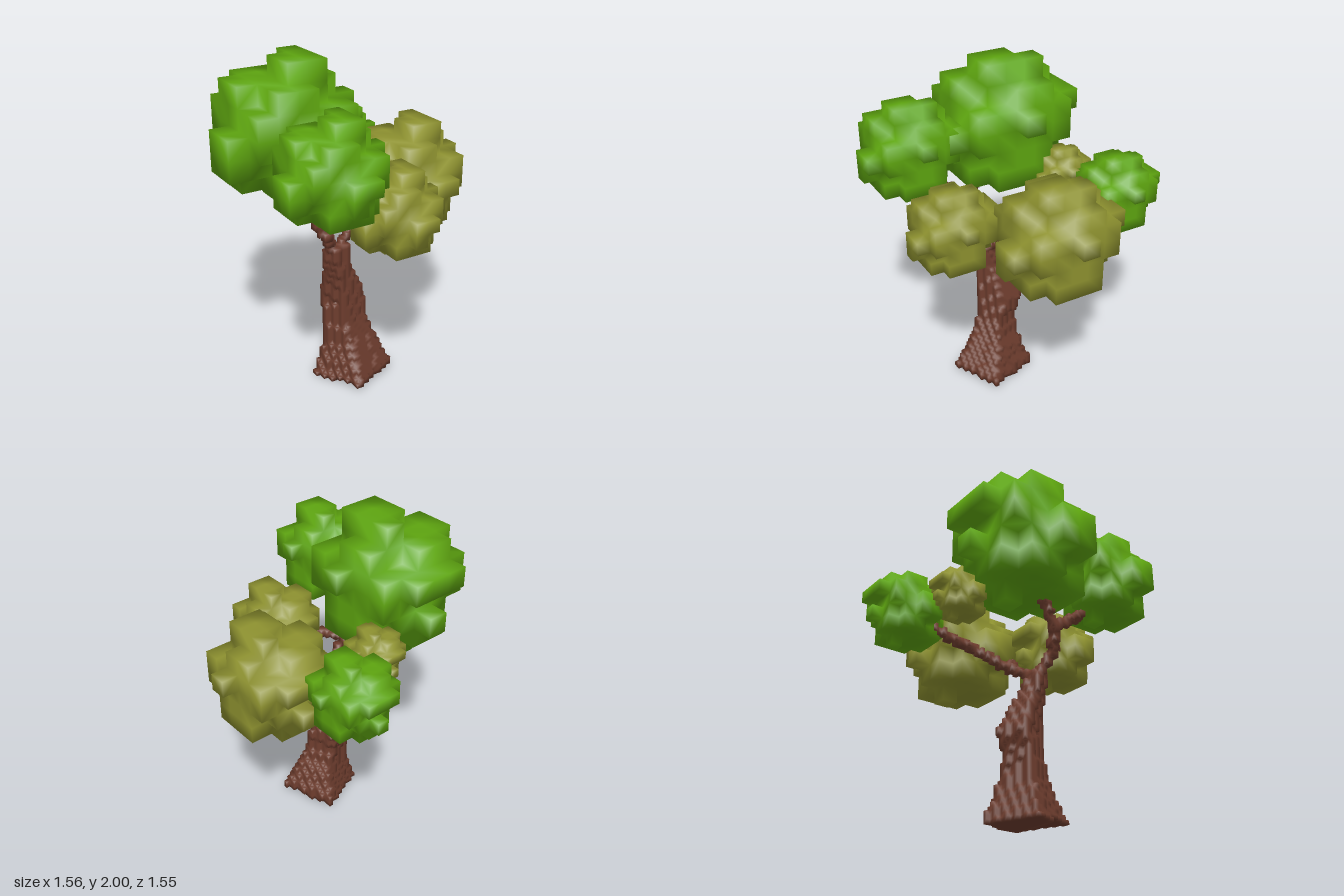
import * as THREE from 'three';

const green = new THREE.MeshStandardMaterial({ color: 0x5ea510 });
green.name = 'leaf green';
const olive = new THREE.MeshStandardMaterial({ color: 0x8e9230 });
olive.name = 'olive leaf';
const bark = new THREE.MeshStandardMaterial({ color: 0x6e3d2e });
bark.name = 'bark brown';

// Skin of a block grid: only exposed faces, shared corners so normals are smooth
function blocks(origin, cell, size, filled) {
  const [nx, ny, nz] = size;
  const grid = new Uint8Array(nx * ny * nz);
  const at = (i, j, k) => (i < 0 || j < 0 || k < 0 || i >= nx || j >= ny || k >= nz) ? 0 : grid[(j * nz + k) * nx + i];
  for (let j = 0; j < ny; j++) for (let k = 0; k < nz; k++) for (let i = 0; i < nx; i++) {
    grid[(j * nz + k) * nx + i] = filled(i, j, k) ? 1 : 0;
  }
  const position = [], index = [], seen = new Map();
  const corner = (p) => {
    const key = p.join();
    if (!seen.has(key)) {
      seen.set(key, position.length / 3);
      position.push(...p.map((v, a) => origin[a] + v * cell));
    }
    return seen.get(key);
  };
  for (let j = 0; j < ny; j++) for (let k = 0; k < nz; k++) for (let i = 0; i < nx; i++) {
    if (!at(i, j, k)) continue;
    for (let a = 0; a < 3; a++) for (const dir of [1, -1]) {
      const next = [i, j, k];
      next[a] += dir;
      if (at(...next)) continue;
      const b = (a + 1) % 3, c = (a + 2) % 3;
      const q = [[0, 0], [1, 0], [1, 1], [0, 1]].map(([u, v]) => {
        const p = [i, j, k];
        if (dir > 0) p[a]++;
        p[b] += u;
        p[c] += v;
        return corner(p);
      });
      if (dir < 0) q.reverse();
      index.push(q[0], q[1], q[2], q[0], q[2], q[3]);
    }
  }
  const g = new THREE.BufferGeometry();
  g.setAttribute('position', new THREE.Float32BufferAttribute(position, 3));
  g.setIndex(index);
  g.computeVertexNormals();
  return g;
}

// One leaf clump: a rough ball in a 7 x 7 x 7 grid with uneven bumps on each side
function leafFilled(i, j, k) {
  const x = i - 3, y = j - 3, z = k - 3;
  if (x === 3) return y === 1 && z === 0;
  if (x === -3) return (y === -1 || y === 0) && (z === 0 || z === 1);
  if (y === 3) return (x === 0 && (z === 0 || z === 1)) || (x === 1 && Math.abs(z) <= 1);
  if (y === -3) return x === 0 && z === -1;
  if (z === 3) return (x === 0 && (y === -1 || y === 0)) || (x === 1 && y === 0);
  if (z === -3) return (y === 1 && Math.abs(x) <= 1) || (y === -1 && x === 0);
  const d = x * x + y * y + z * z;
  // Some blocks next to the corners are left out, as on a worn ball
  const frontFoot = x > 0 && y === -2 && z > 0;
  return d <= 8 || (d === 9 && (frontFoot || (y - x - z + 60) % 4 < 2));
}

// Trunk outline by height: y, x min, x max, z min, z max
const outline = [
  [0.00, -0.28, 0.17, -0.095, 0.35],
  [0.06, -0.25, 0.17, -0.095, 0.35],
  [0.13, -0.24, 0.14, -0.07, 0.31],
  [0.20, -0.22, 0.12, -0.05, 0.27],
  [0.30, -0.21, 0.07, -0.03, 0.22],
  [0.40, -0.21, 0.05, -0.03, 0.19],
  [0.52, -0.21, 0.05, -0.075, 0.18],
  [0.60, -0.21, 0.02, -0.045, 0.175],
  [0.68, -0.21, -0.02, -0.015, 0.175],
  [0.75, -0.22, -0.05, 0.03, 0.175],
  [0.82, -0.23, -0.07, 0.05, 0.175],
  [0.91, -0.24, -0.08, 0.07, 0.175],
];

// The section is a square turned about the trunk's axis
const turnCos = Math.cos(0.4), turnSin = Math.sin(0.4);

function inTrunk(x, y, z) {
  const n = outline.findIndex((r) => r[0] > y);
  if (n < 1) return false;
  // Tilted foot
  if (y < 0.025 && (z > 0.18 || x > 0.1)) return false;
  const lo = outline[n - 1], hi = outline[n];
  const t = (y - lo[0]) / (hi[0] - lo[0]);
  const [, x0, x1, z0, z1] = lo.map((v, a) => v + (hi[a] - v) * t);
  const p = (2 * x - x0 - x1) / (x1 - x0), q = (2 * z - z0 - z1) / (z1 - z0);
  const u = p * turnCos - q * turnSin, v = p * turnSin + q * turnCos;
  return Math.max(Math.abs(u), Math.abs(v)) <= 1 / (turnCos + turnSin);
}

// Branch paths leading from the fork into the clumps
const V = (x, y, z) => new THREE.Vector3(x, y, z);
const branches = [
  [V(-0.13, 0.88, 0.11), V(0, 0.96, 0.03), V(0.1, 1.07, -0.15), V(0.16, 1.15, -0.35), V(0.25, 1.23, -0.5)],
  [V(0, 0.97, 0.03), V(0.08, 1.03, 0.13), V(0.2, 1.1, 0.12)],
  [V(-0.18, 0.88, 0.12), V(-0.25, 1.0, 0.17), V(-0.33, 1.14, 0.13), V(-0.35, 1.32, 0)],
  [V(-0.28, 1.07, 0.16), V(-0.2, 1.1, 0.22), V(-0.1, 1.11, 0.32), V(0, 1.14, 0.4)],
  [V(-0.33, 1.14, 0.14), V(-0.34, 1.24, 0.28), V(-0.36, 1.34, 0.42)],
];
const segments = branches.flatMap((path) => path.slice(1).map((end, n) => new THREE.Line3(path[n], end)));

function inBranch(p) {
  const near = new THREE.Vector3();
  return segments.some((s) => s.closestPointToPoint(p, true, near).distanceTo(p) < 0.027);
}

export function createModel() {
  const tree = new THREE.Group();
  tree.name = 'tree';
  const add = (name, geometry, material) => {
    const mesh = new THREE.Mesh(geometry, material);
    mesh.name = name;
    tree.add(mesh);
  };

  // Trunk and branches
  const cell = 0.025, start = [-0.5, 0, -0.6];
  add('trunkAndBranches', blocks(start, cell, [38, 54, 44], (i, j, k) => {
    const p = V(start[0] + (i + 0.5) * cell, (j + 0.5) * cell, start[2] + (k + 0.5) * cell);
    return inTrunk(p.x, p.y, p.z) || (p.y > 0.84 && inBranch(p));
  }), bark);

  // Leaf clumps: name, low corner, block size, colour
  const clumps = [
    ['largeGreenClump', [-0.78, 1.148, -0.542], 0.1217, green],
    ['frontGreenClump', [-0.702, 1.2, 0.162], 0.0875, green],
    ['backGreenClump', [0.02, 1.022, -0.78], 0.0702, green],
    ['largeOliveClump', [0.073, 0.83, -0.382], 0.1007, olive],
    ['frontOliveClump', [-0.22, 0.91, 0.158], 0.0757, olive],
    ['backOliveClump', [-0.222, 1.133, -0.53], 0.0487, olive],
  ];
  for (const [name, corner, size, material] of clumps) {
    add(name, blocks(corner, size, [7, 7, 7], leafFilled), material);
  }
  return tree;
}
